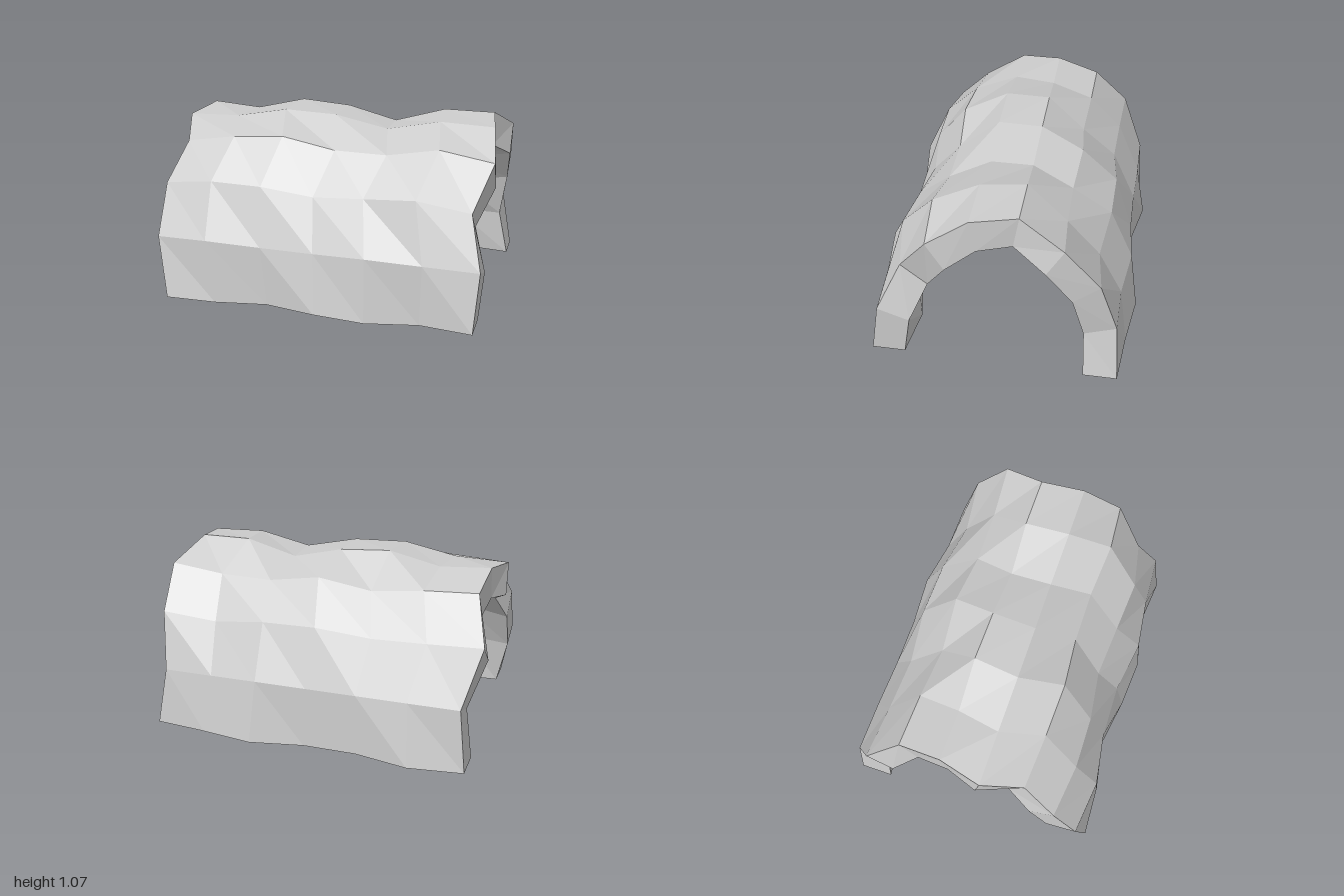
import * as THREE from 'three';

const COLS = 6, ROWS = 9, THICK = 0.2;

// One entry per row, going over the arch from the front foot to the back foot:
// x of the left and right end, then the radial swell at each of the seven ribs.
const RIBS = [
  [-0.90, 0.96, 1.03, 1.01, 0.935, 1.00, 1.03, 0.94, 0.98],
  [-0.97, 0.98, 1.00, 1.05, 0.98, 0.97, 1.04, 0.985, 0.957],
  [-0.97, 0.90, 0.965, 1.03, 1.02, 0.95, 0.99, 1.03, 0.935],
  [-0.91, 0.99, 0.95, 1.01, 1.04, 0.965, 0.96, 1.03, 0.965],
  [-1.00, 0.95, 0.94, 0.95, 1.01, 1.00, 0.935, 1.00, 0.99],
  [-0.94, 0.91, 0.97, 0.95, 1.02, 1.00, 0.93, 1.015, 1.015],
  [-0.92, 1.00, 1.02, 1.00, 0.955, 1.02, 0.96, 0.97, 1.02],
  [-1.00, 0.975, 1.02, 0.99, 0.97, 1.03, 1.02, 0.95, 1.01],
  [-0.91, 0.93, 1.02, 1.015, 1.00, 1.00, 1.03, 0.97, 0.965],
  [-0.95, 0.99, 0.985, 1.04, 0.955, 0.955, 1.04, 0.98, 0.94],
];

// Point on the outer skin (depth 0) or the inner skin (depth THICK)
function archPoint(i, j, depth) {
  const [x0, x1, ...swell] = RIBS[j];
  const a = (j / ROWS) * Math.PI, c = Math.cos(a), s = Math.sin(a);
  return [
    x0 + (x1 - x0) * i / COLS,
    Math.max(0, 1.065 * swell[i] * s - depth * s),
    0.77 * swell[i] * c - depth * c,
  ];
}
const outer = (i, j) => archPoint(i, j, 0);
const inner = (i, j) => archPoint(i, j, THICK);

// Mesh from a list of quads, each split along its b-d diagonal
function quadMesh(name, quads, material) {
  const pos = [];
  for (const [a, b, c, d] of quads) pos.push(...a, ...b, ...d, ...b, ...c, ...d);
  const geo = new THREE.BufferGeometry();
  geo.setAttribute('position', new THREE.Float32BufferAttribute(pos, 3));
  geo.computeVertexNormals();
  const mesh = new THREE.Mesh(geo, material);
  mesh.name = name;
  return mesh;
}

export function createModel() {
  const group = new THREE.Group();
  group.name = 'archedTunnel';
  const stone = new THREE.MeshStandardMaterial({ color: 0xcccccc, flatShading: true });
  stone.name = 'pale grey stone';

  // Rocky outer and inner skins
  const outside = [], inside = [], ends = [], feet = [];
  for (let j = 0; j < ROWS; j++) {
    for (let i = 0; i < COLS; i++) {
      outside.push([outer(i, j), outer(i + 1, j), outer(i + 1, j + 1), outer(i, j + 1)]);
      inside.push([inner(i + 1, j), inner(i, j), inner(i, j + 1), inner(i + 1, j + 1)]);
    }
    // Arch-shaped end faces
    ends.push([outer(COLS, j), inner(COLS, j), inner(COLS, j + 1), outer(COLS, j + 1)]);
    ends.push([inner(0, j), outer(0, j), outer(0, j + 1), inner(0, j + 1)]);
  }
  // Undersides of the two walls
  for (let i = 0; i < COLS; i++) {
    feet.push([outer(i, 0), inner(i, 0), inner(i + 1, 0), outer(i + 1, 0)]);
    feet.push([inner(i, ROWS), outer(i, ROWS), outer(i + 1, ROWS), inner(i + 1, ROWS)]);
  }
  group.add(
    quadMesh('outerRock', outside, stone),
    quadMesh('innerRock', inside, stone),
    quadMesh('endFaces', ends, stone),
    quadMesh('wallFeet', feet, stone),
  );

  // Small stones along the foot of both inner walls
  const pebble = new THREE.IcosahedronGeometry(1, 0).scale(0.055, 0.042, 0.036);
  // Flared wall lamps
  const lamp = new THREE.LatheGeometry([
    [0, -0.042], [0.036, -0.042], [0.04, -0.03], [0.028, -0.018],
    [0.028, 0.022], [0.045, 0.032], [0.045, 0.042], [0, 0.042],
  ].map(([r, y]) => new THREE.Vector2(r, y)), 8);

  const place = (name, geo, x, y, z) => {
    const mesh = new THREE.Mesh(geo, stone);
    mesh.name = name;
    mesh.position.set(x, y, z);
    group.add(mesh);
  };
  for (const side of [1, -1]) {
    for (const x of [-0.74, -0.31, 0.14]) place('wallPebble', pebble, x, 0.088, side * 0.54);
  }
  place('frontWallLamp', lamp, 0, 0.38, 0.47);
  for (const x of [-0.6, 0.6]) place('backWallLamp', lamp, x, 0.38, -0.47);

  return group;
}
